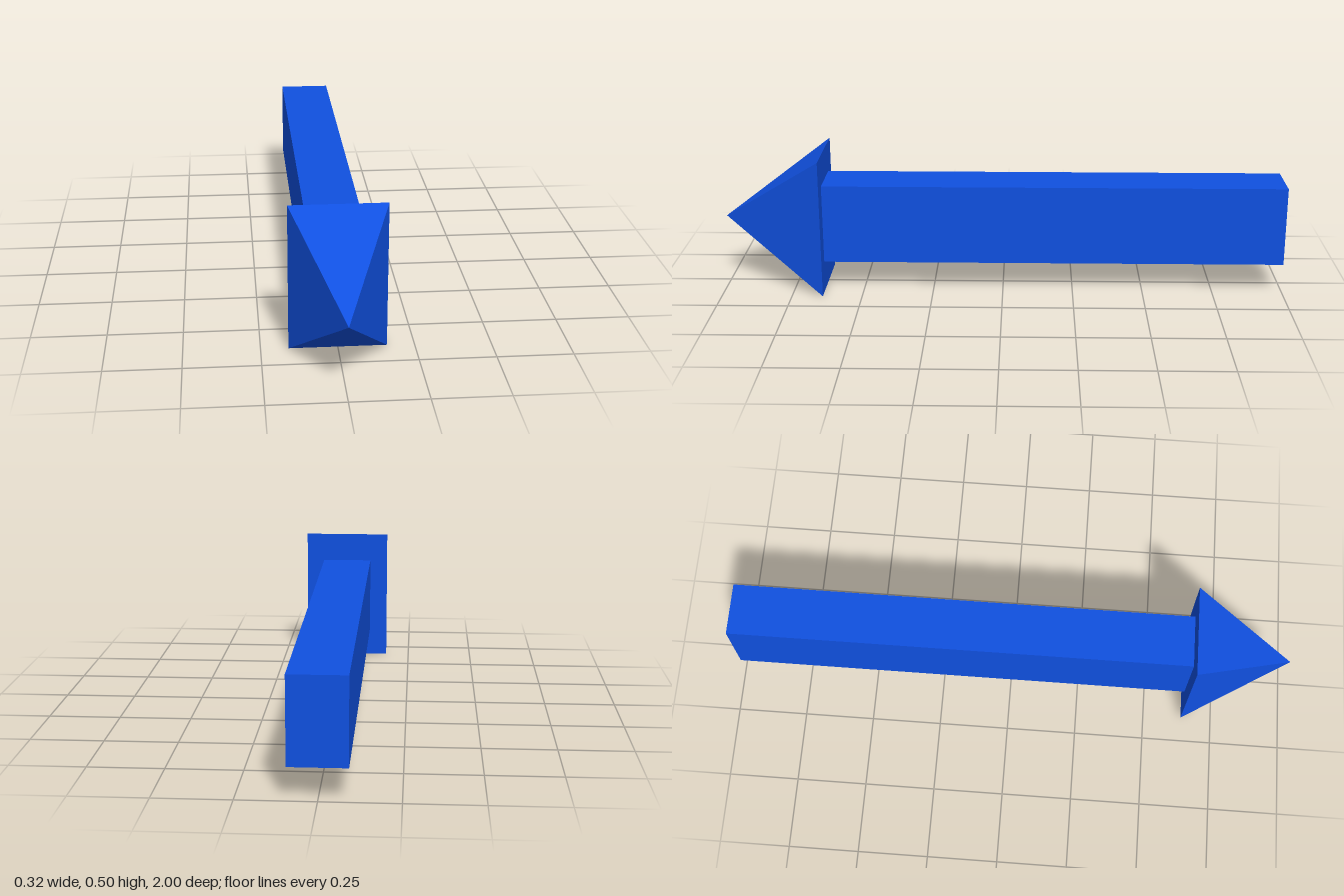
import * as THREE from 'three';

export function createModel() {
  const group = new THREE.Group();
  group.name = 'arrow';
  const material = new THREE.MeshStandardMaterial({ color: 0x1050e0, flatShading: true });

  const centerY = 0.248;
  const headBack = 0.64;

  const add = (name, geometry, z) => {
    const mesh = new THREE.Mesh(geometry, material);
    mesh.name = name;
    mesh.position.set(0, centerY, z);
    group.add(mesh);
  };

  // Rectangular shaft running from the back end to the head
  const shaftLength = headBack + 1;
  add('shaft', new THREE.BoxGeometry(0.186, 0.283, shaftLength), -1 + shaftLength / 2);

  // Four-sided pyramid head pointing forward
  const headLength = 1 - headBack;
  const head = new THREE.ConeGeometry(Math.SQRT1_2, 1, 4)
    .rotateY(Math.PI / 4)
    .rotateX(Math.PI / 2)
    .scale(0.32, centerY * 2, headLength);
  add('arrowHead', head, headBack + headLength / 2);

  return group;
}
